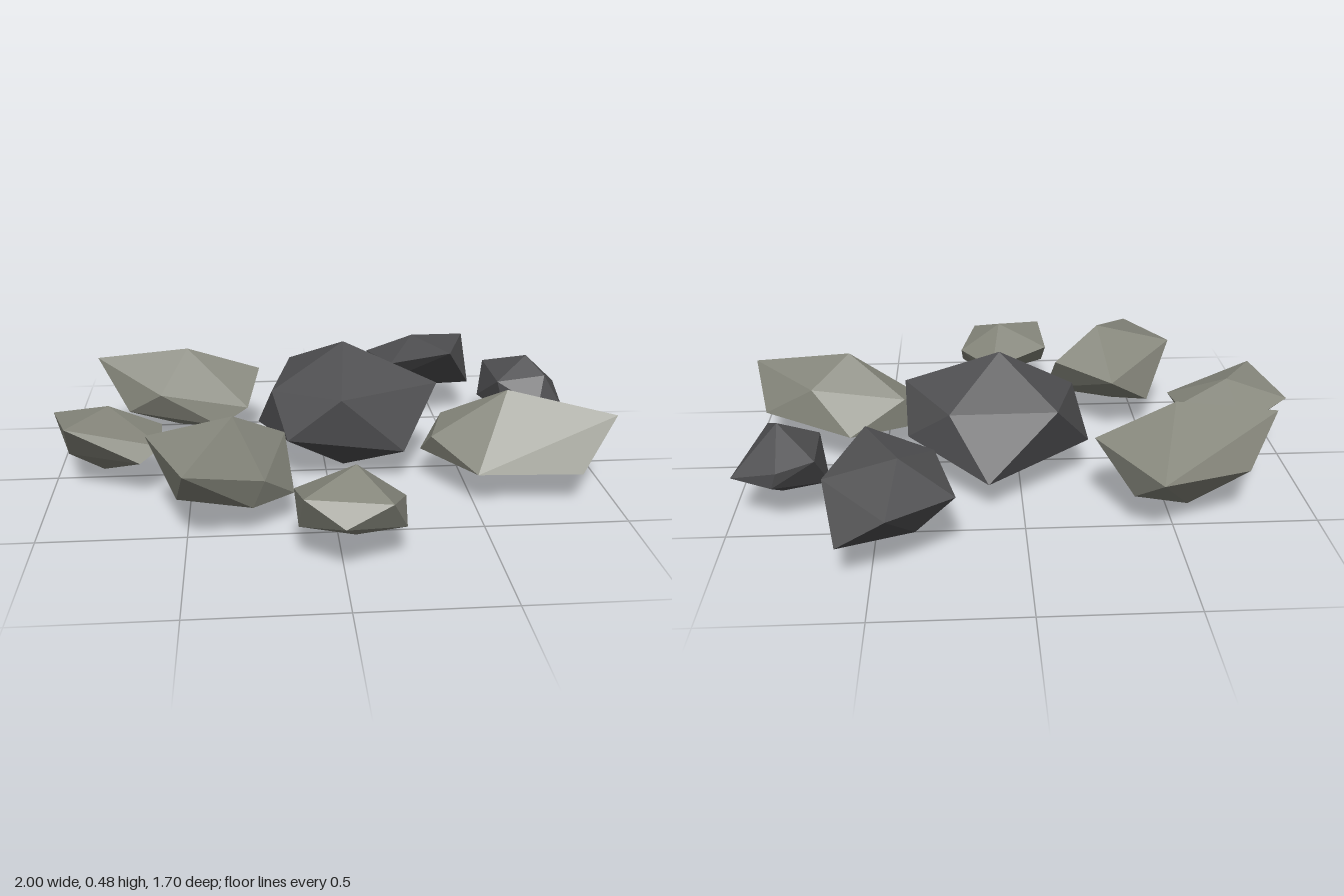
import * as THREE from 'three';
import { ConvexGeometry } from 'three/addons/geometries/ConvexGeometry.js';

const paleStone = new THREE.MeshStandardMaterial({ color: 0x85867b });
paleStone.name = 'pale stone';
const darkStone = new THREE.MeshStandardMaterial({ color: 0x4f4f51 });
darkStone.name = 'dark stone';

// A faceted rock: apex, upper ring, lower ring and base point wrapped in flat faces
function rock(name, material, apex, upper, lower, base) {
  const points = [apex, ...upper, ...lower, base].map((p) => new THREE.Vector3(...p));
  const mesh = new THREE.Mesh(new ConvexGeometry(points), material);
  mesh.name = name;
  return mesh;
}

export function createModel() {
  const group = new THREE.Group();
  group.name = 'rockCluster';

  // Dark rocks
  group.add(rock('centreRock', darkStone, [0.07, 0.48, -0.09],
    [[0.41, 0.34, 0], [0.04, 0.35, 0.19], [-0.2, 0.32, -0.01], [-0.12, 0.345, -0.32], [0.25, 0.32, -0.27]],
    [[0.12, 0.12, -0.41], [0.4, 0.19, -0.16], [0.27, 0.14, 0.17], [-0.15, 0.19, 0.16], [-0.25, 0.15, -0.14]],
    [0.07, 0, -0.05]));

  group.add(rock('backRock', darkStone, [0.41, 0.335, -0.61],
    [[0.53, 0.33, -0.36], [0.64, 0.31, -0.69], [0.44, 0.245, -0.85], [0.23, 0.24, -0.7], [0.3, 0.27, -0.43]],
    [[0.6, 0.14, -0.82], [0.64, 0.15, -0.52], [0.36, 0.12, -0.7], [0.25, 0.14, -0.53]],
    [0.46, 0.115, -0.6]));

  group.add(rock('leftBackRock', darkStone, [0.83, 0.33, -0.32],
    [[0.69, 0.26, -0.475], [0.82, 0.22, -0.48], [0.98, 0.18, -0.425], [0.88, 0.28, -0.21], [0.7, 0.25, -0.235]],
    [[0.84, 0.16, -0.47], [0.955, 0.15, -0.185], [0.84, 0.18, -0.125], [0.73, 0.12, -0.2], [0.655, 0.14, -0.39]],
    [0.835, 0.06, -0.3]));

  // Pale rocks
  group.add(rock('leftRock', paleStone, [0.63, 0.375, 0.19],
    [[0.76, 0.29, 0.04], [1, 0.31, 0.3], [0.365, 0.2, 0.18], [0.42, 0.24, 0.05]],
    [[0.615, 0.15, -0.08], [0.95, 0.165, 0.125], [0.865, 0.13, 0.39], [0.5, 0.13, 0.37], [0.34, 0.12, 0.1]],
    [0.655, 0.055, 0.19]));

  group.add(rock('rightBackRock', paleStone, [-0.52, 0.385, -0.34],
    [[-0.43, 0.24, -0.67], [-0.24, 0.28, -0.39], [-0.87, 0.35, -0.355], [-0.62, 0.25, -0.18]],
    [[-0.29, 0.17, -0.235], [-0.4, 0.11, -0.2], [-0.75, 0.16, -0.25], [-0.75, 0.2, -0.505], [-0.36, 0.13, -0.53]],
    [-0.565, 0.035, -0.42]));

  group.add(rock('rightRock', paleStone, [-0.79, 0.3, 0.045],
    [[-0.81, 0.2, -0.16], [-0.605, 0.21, 0.01], [-0.595, 0.19, 0.175], [-0.92, 0.29, 0.24], [-1, 0.25, -0.035]],
    [[-0.66, 0.13, -0.06], [-0.67, 0.15, 0.23], [-0.93, 0.15, 0.12]],
    [-0.82, 0.055, 0.05]));

  group.add(rock('rightFrontRock', paleStone, [-0.34, 0.39, 0.405],
    [[-0.37, 0.25, 0.135], [-0.165, 0.28, 0.29], [-0.24, 0.21, 0.53], [-0.495, 0.31, 0.7], [-0.63, 0.325, 0.395]],
    [[-0.14, 0.115, 0.425], [-0.525, 0.14, 0.23], [-0.53, 0.14, 0.5], [-0.28, 0.11, 0.52]],
    [-0.41, 0.08, 0.39]));

  group.add(rock('frontRock', paleStone, [0.045, 0.315, 0.65],
    [[0.08, 0.19, 0.46], [0.205, 0.2, 0.645], [0.145, 0.25, 0.81], [-0.13, 0.27, 0.795], [-0.15, 0.22, 0.61]],
    [[0.2, 0.13, 0.725], [-0.005, 0.19, 0.85], [-0.14, 0.13, 0.7], [0.1, 0.13, 0.54]],
    [0.04, 0.095, 0.7]));

  return group;
}
